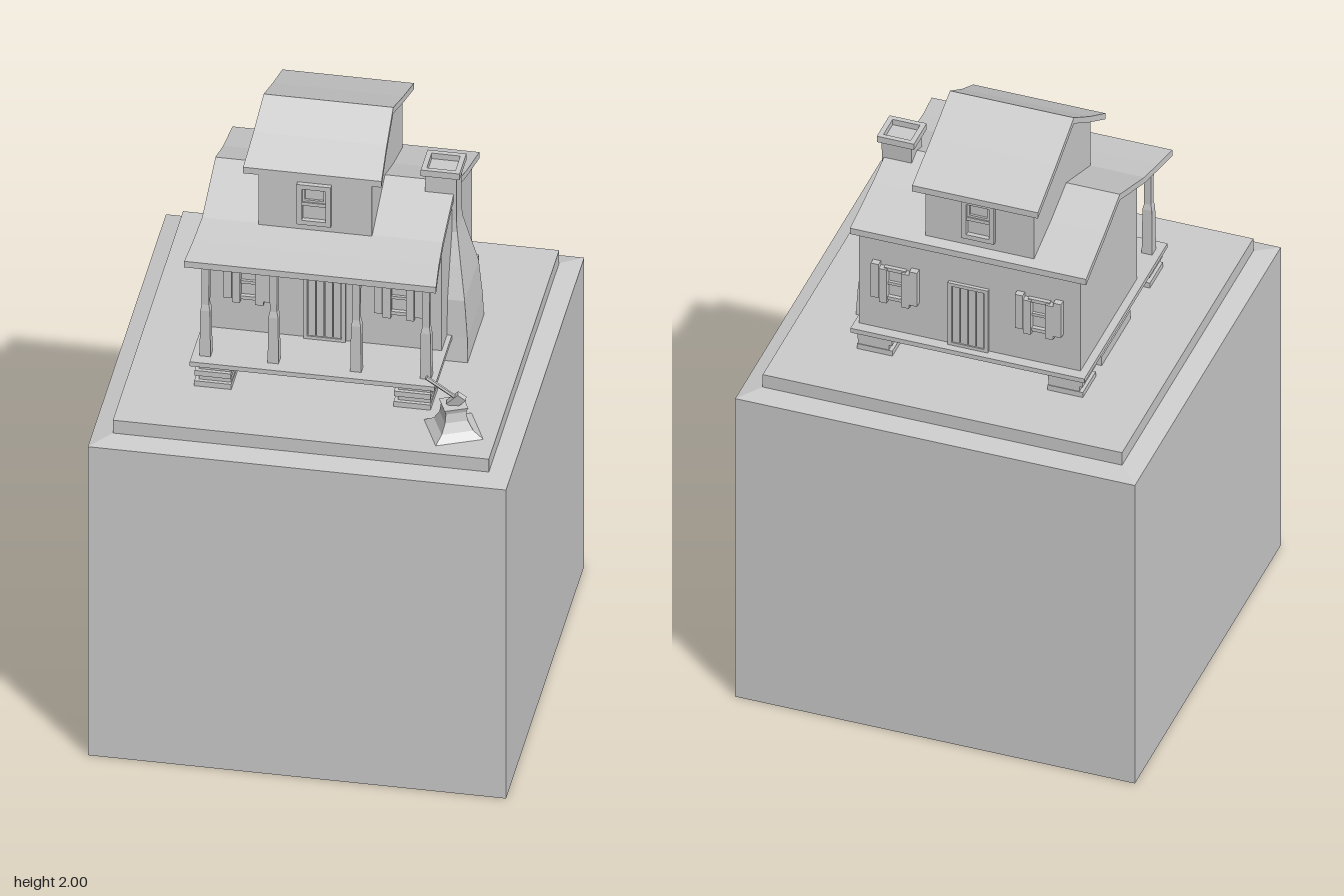
import * as THREE from 'three';

const mat = new THREE.MeshStandardMaterial({ color: 0xcccccc, flatShading: true });

function add(parent, name, geo, x = 0, y = 0, z = 0) {
  const m = new THREE.Mesh(geo, mat);
  m.name = name;
  m.position.set(x, y, z);
  parent.add(m);
  return m;
}

// Box given by its limits
function block(parent, name, x0, x1, y0, y1, z0, z1) {
  return add(parent, name, new THREE.BoxGeometry(x1 - x0, y1 - y0, z1 - z0),
    (x0 + x1) / 2, (y0 + y1) / 2, (z0 + z1) / 2);
}

// Rectangular sections [y, x0, x1, z0, z1] joined from bottom to top
function tower(parent, name, rows) {
  const n = rows.length - 1;
  const geo = new THREE.BoxGeometry(1, 1, 1, 1, n, 1);
  const p = geo.attributes.position;
  for (let i = 0; i < p.count; i++) {
    const [y, x0, x1, z0, z1] = rows[Math.round((p.getY(i) + 0.5) * n)];
    p.setXYZ(i, p.getX(i) > 0 ? x1 : x0, y, p.getZ(i) > 0 ? z1 : z0);
  }
  geo.computeVertexNormals();
  return add(parent, name, geo);
}

// Bent roof sheet through rows [z, y, x0, x1], ordered back to front
function roof(parent, name, rows, t) {
  const n = rows.length - 1;
  const geo = new THREE.BoxGeometry(1, 1, 1, 1, 1, n);
  const p = geo.attributes.position;
  for (let i = 0; i < p.count; i++) {
    const [z, y, x0, x1] = rows[Math.round((p.getZ(i) + 0.5) * n)];
    p.setXYZ(i, p.getX(i) > 0 ? x1 : x0, p.getY(i) > 0 ? y : y - t, z);
  }
  geo.computeVertexNormals();
  return add(parent, name, geo);
}

// Solid gabled storey: outline of [z, y] points pushed along x
function storey(parent, name, x0, x1, outline) {
  const shape = new THREE.Shape(outline.map(([z, y]) => new THREE.Vector2(z, y)));
  const geo = new THREE.ExtrudeGeometry(shape, { depth: x1 - x0, bevelEnabled: false });
  geo.rotateY(-Math.PI / 2);
  return add(parent, name, geo, x1);
}

// Rectangular frame lying in the xy plane
function frameGeometry(w, h, bar, depth) {
  const rect = (P, a, b) => new P([[-a, -b], [a, -b], [a, b], [-a, b]].map(c => new THREE.Vector2(...c)));
  const shape = rect(THREE.Shape, w / 2, h / 2);
  shape.holes.push(rect(THREE.Path, w / 2 - bar, h / 2 - bar));
  return new THREE.ExtrudeGeometry(shape, { depth, bevelEnabled: false });
}

// Window with uneven plank shutters, facing +z
function shutteredWindow(x) {
  const g = new THREE.Group();
  g.name = 'shutteredWindow';
  add(g, 'windowFrame', frameGeometry(0.07, 0.12, 0.012, 0.014));
  block(g, 'windowBar', -0.025, 0.025, -0.005, 0.005, 0, 0.01);
  [[-0.062, 0.008], [-0.036, -0.006], [0.036, -0.008], [0.062, 0.006]].forEach(([px, dy]) =>
    block(g, 'shutterPlank', px - 0.0125, px + 0.0125, dy - 0.063, dy + 0.063, 0, 0.022));
  g.position.set(x, 1.457, 0);
  return g;
}

// Door, windows and upper window of one wall, facing +z
function facade(name) {
  const g = new THREE.Group();
  g.name = name;
  g.add(shutteredWindow(-0.24), shutteredWindow(0.225));
  add(g, 'doorFrame', frameGeometry(0.13, 0.235, 0.012, 0.012), -0.005, 1.392, 0);
  for (let i = 0; i < 4; i++) {
    const x = -0.056 + i * 0.026;
    block(g, 'doorPlank', x, x + 0.023, 1.28, 1.5, 0, 0.008);
  }
  add(g, 'upperWindowFrame', frameGeometry(0.105, 0.145, 0.016, 0.016), -0.037, 1.765, 0);
  add(g, 'upperWindowSash', frameGeometry(0.073, 0.057, 0.008, 0.008), -0.037, 1.8, 0);
  block(g, 'upperWindowBar', -0.074, 0, 1.76, 1.772, 0, 0.012);
  return g;
}

export function createModel() {
  const model = new THREE.Group();
  model.name = 'cabinOnPlinth';

  // Plinth with a sloped shoulder and a raised slab
  tower(model, 'plinth', [[0, -0.645, 0.645, -0.645, 0.645], [1.125, -0.645, 0.645, -0.645, 0.645],
    [1.14, -0.58, 0.58, -0.58, 0.58]]);
  block(model, 'plinthSlab', -0.58, 0.58, 1.14, 1.187, -0.58, 0.58);

  // Stacked stone piers and the long middle footing
  for (const x of [-0.315, 0.3]) for (const z of [0.293, -0.3]) {
    [0.057, 0.05, 0.056, 0.049].forEach((r, i) => {
      const y = 1.187 + i * 0.0185, s = (i % 2) * 0.005;
      block(model, 'pierStone', x - r + s, x + r + s, y, y + 0.0185, z - r - s, z + r - s);
    });
  }
  block(model, 'footingLower', -0.37, 0.36, 1.187, 1.22, -0.185, 0.07);
  block(model, 'footingUpper', -0.36, 0.36, 1.22, 1.24, -0.175, 0.06);
  block(model, 'floor', -0.385, 0.37, 1.26, 1.276, -0.38, 0.355);

  // Walls
  storey(model, 'lowerWalls', -0.36, 0.355,
    [[-0.345, 1.276], [0.155, 1.276], [0.155, 1.655], [-0.058, 1.735], [-0.345, 1.65]]);
  storey(model, 'upperWalls', -0.21, 0.14,
    [[-0.345, 1.62], [0.155, 1.62], [0.155, 1.86], [-0.058, 1.985], [-0.345, 1.865]]);

  // Roofs
  roof(model, 'lowerRoof', [[-0.378, 1.652, -0.39, 0.372], [-0.2, 1.7, -0.385, 0.365], [-0.06, 1.75, -0.383, 0.36],
    [0.15, 1.668, -0.385, 0.358], [0.25, 1.65, -0.393, 0.364], [0.35, 1.637, -0.403, 0.374]], 0.022);
  roof(model, 'upperRoof', [[-0.388, 1.872, -0.238, 0.168], [-0.22, 1.934, -0.236, 0.167], [-0.058, 2, -0.234, 0.166],
    [0.05, 1.932, -0.245, 0.166], [0.158, 1.872, -0.257, 0.17]], 0.022);

  // Porch posts
  for (const x of [-0.345, -0.135, 0.12, 0.335]) {
    tower(model, 'porchPost', [[1.27, 0.017], [1.44, 0.015], [1.46, 0.011], [1.6, 0.012], [1.61, 0.018], [1.632, 0.018]]
      .map(([y, r]) => [y, x - r, x + r, 0.3 - r, 0.3 + r]));
  }

  // Doors and windows, front and back
  const front = facade('frontFacade');
  front.position.z = 0.154;
  const back = facade('backFacade');
  back.rotation.y = Math.PI;
  back.position.set(-0.07, 0, -0.344);
  for (const part of back.children) if (!part.name.startsWith('upper')) part.position.x -= 0.065;
  model.add(front, back);

  // Chimney
  tower(model, 'chimney', [[1.187, 0.3, 0.42, -0.195, 0.075], [1.27, 0.3, 0.418, -0.185, 0.068],
    [1.4, 0.3, 0.408, -0.172, 0.06], [1.5, 0.29, 0.39, -0.138, 0.025], [1.6, 0.275, 0.372, -0.105, -0.012],
    [1.64, 0.272, 0.368, -0.102, -0.016], [1.797, 0.272, 0.368, -0.11, -0.018]]);
  const cap = add(model, 'chimneyCap', frameGeometry(0.12, 0.113, 0.016, 0.022), 0.32, 1.795, -0.063);
  cap.rotation.x = -Math.PI / 2;

  // Tree stump with flared roots
  const profile = [[0.105, 0], [0.07, 0.02], [0.05, 0.05], [0.045, 0.08], [0.052, 0.095], [0, 0.095]];
  const stump = add(model, 'stump', new THREE.LatheGeometry(profile.map(p => new THREE.Vector2(...p)), 4),
    0.445, 1.187, 0.44);
  stump.rotation.y = -0.36;

  // Axe stuck in the stump
  const axe = new THREE.Group();
  axe.name = 'axe';
  const from = new THREE.Vector3(0.465, 1.3, 0.445), to = new THREE.Vector3(0.367, 1.39, 0.475);
  add(axe, 'axeHandle', new THREE.CylinderGeometry(0.007, 0.006, from.distanceTo(to), 6));
  block(axe, 'axeHead', -0.035, 0.018, -0.078, -0.045, -0.009, 0.009);
  axe.position.copy(from).lerp(to, 0.5);
  axe.quaternion.setFromUnitVectors(new THREE.Vector3(0, 1, 0), to.clone().sub(from).normalize());
  model.add(axe);

  return model;
}
